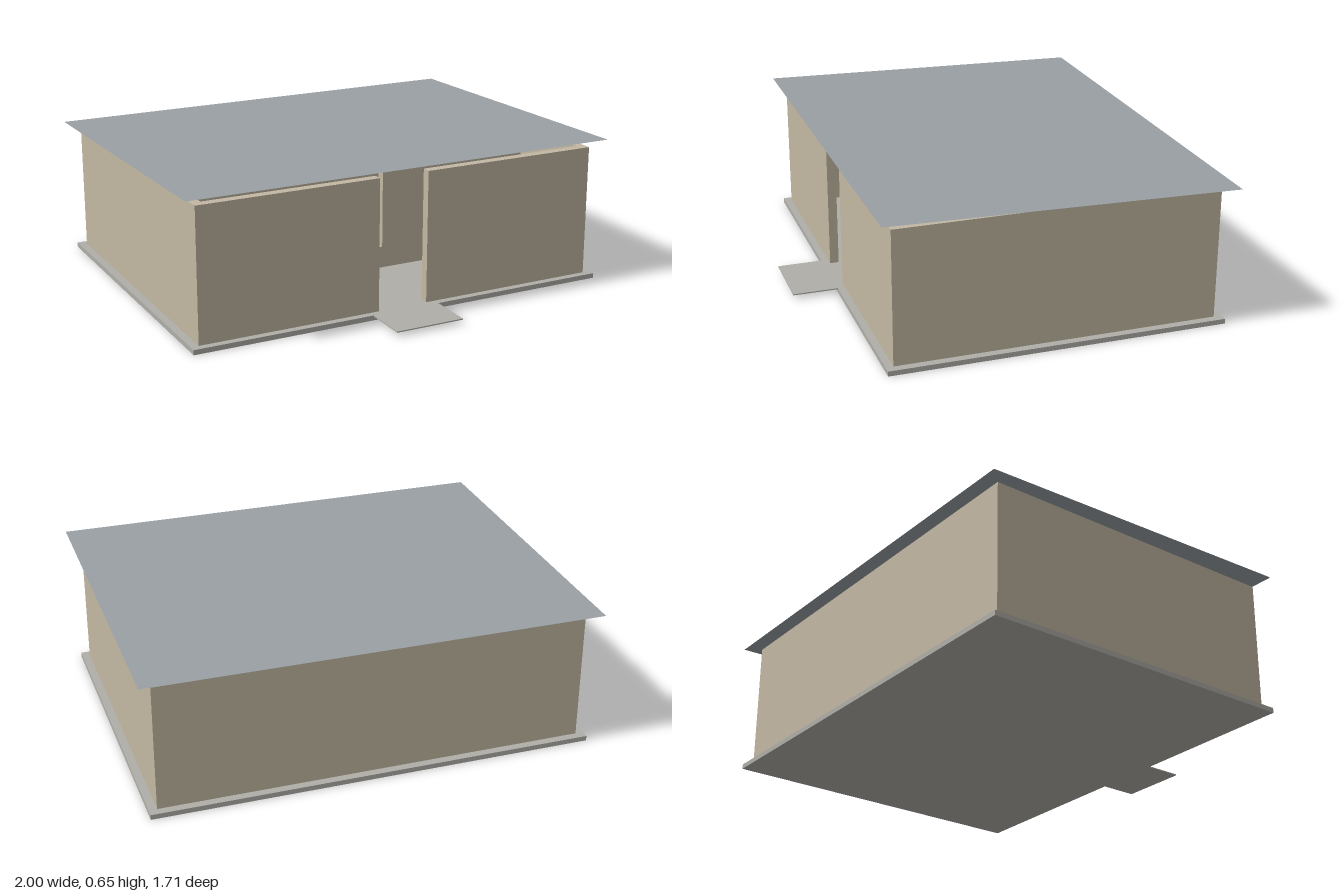
import * as THREE from 'three';

const mat = (color, side = THREE.FrontSide) => new THREE.MeshStandardMaterial({ color, side });

export function createModel() {
  const group = new THREE.Group();
  const wallMat = mat(0xc2b8a3);
  const slabMat = mat(0xb0aea8);

  // Box given by its extents on each axis
  const box = (name, material, [x0, x1], [y0, y1], [z0, z1]) => {
    const mesh = new THREE.Mesh(new THREE.BoxGeometry(x1 - x0, y1 - y0, z1 - z0), material);
    mesh.position.set((x0 + x1) / 2, (y0 + y1) / 2, (z0 + z1) / 2);
    mesh.name = name;
    group.add(mesh);
  };

  // Floor slab and entrance path
  const floor = 0.022;
  box('floorSlab', slabMat, [-0.975, 0.975], [0, floor], [-0.828, 0.654]);
  box('entrancePath', slabMat, [-0.158, 0.158], [0.017, floor], [0.654, 0.855]);

  // Outer walls, with a full-height doorway in the front
  const W = 0.94, T = 0.04, front = 0.622, back = -0.792, door = 0.116;
  const height = [floor, 0.612];
  box('backWall', wallMat, [-W, W], height, [back, back + T]);
  box('rightSideWall', wallMat, [-W, -W + T], height, [back + T, front - T]);
  box('leftSideWall', wallMat, [W - T, W], height, [back + T, front - T]);
  box('frontWallRight', wallMat, [-W, -door], height, [front - T, front]);
  box('frontWallLeft', wallMat, [door, W], height, [front - T, front]);

  // Inner partition with a hatch facing the doorway
  const shape = new THREE.Shape();
  const rect = (path, x, y0, y1) =>
    path.moveTo(-x, y0).lineTo(x, y0).lineTo(x, y1).lineTo(-x, y1).closePath();
  rect(shape, W - T, ...height);
  const hatch = new THREE.Path();
  rect(hatch, 0.16, 0.122, 0.523);
  shape.holes.push(hatch);
  const partition = new THREE.Mesh(
    new THREE.ExtrudeGeometry(shape, { depth: T, bevelEnabled: false }), wallMat);
  partition.position.z = 0.147 - T;
  partition.name = 'innerPartition';
  group.add(partition);

  // Thin roof sheet rising toward the front
  const roofBack = -0.855, roofFront = 0.675, lowY = 0.617, highY = 0.652;
  const depth = roofFront - roofBack, rise = highY - lowY;
  const roof = new THREE.Mesh(
    new THREE.PlaneGeometry(2, Math.hypot(depth, rise)), mat(0x9aa0a4, THREE.DoubleSide));
  roof.rotation.x = -Math.PI / 2 - Math.atan2(rise, depth);
  roof.position.set(0, (lowY + highY) / 2, (roofBack + roofFront) / 2);
  roof.name = 'roof';
  group.add(roof);

  return group;
}
